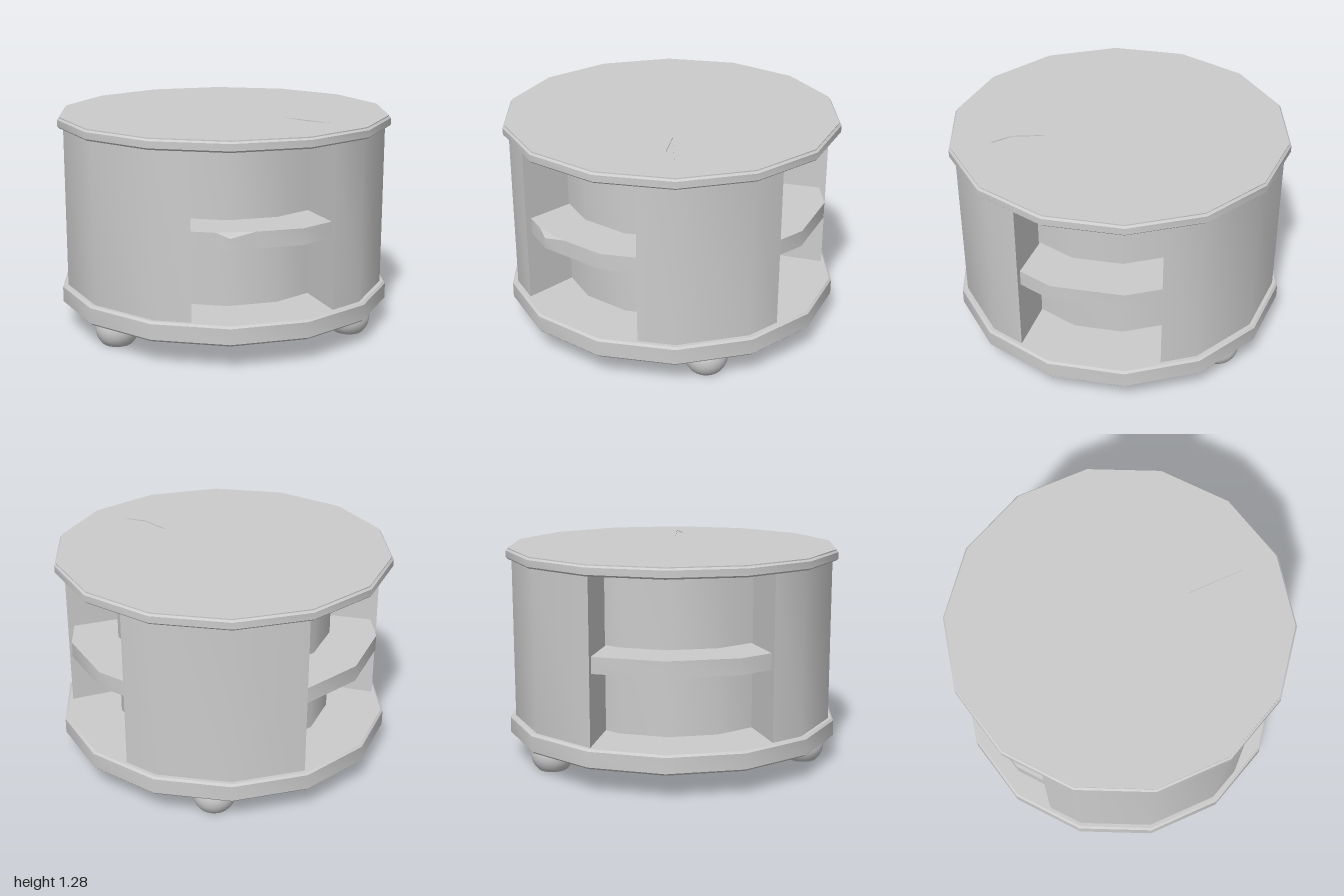
import * as THREE from 'three';
import { toCreasedNormals } from 'three/addons/utils/BufferGeometryUtils.js';

const STEP = 360 / 14;   // every ring is a 14-sided polygon
const START = -9.8;      // angle of one corner, measured from +z towards +x
const rad = THREE.MathUtils.degToRad;
const corner = (k) => START + k * STEP;

// Point on the 14-sided ring at a given angle (shape y is -z)
function onRing(R, angle) {
  const off = (((angle - START) % STEP) + STEP) % STEP - STEP / 2;
  const r = R * Math.cos(rad(STEP / 2)) / Math.cos(rad(off));
  return new THREE.Vector2(r * Math.sin(rad(angle)), -r * Math.cos(rad(angle)));
}

// Ring stretch from angle a to b, with the polygon corners in between
function arc(R, a, b) {
  const pts = [onRing(R, a)];
  for (let k = Math.ceil((a - START) / STEP + 0.01); corner(k) < b - 0.3; k++) pts.push(onRing(R, corner(k)));
  pts.push(onRing(R, b));
  return pts;
}

const fullRing = (R) => Array.from({ length: 14 }, (_, k) => onRing(R, corner(k)));

// Upright slab from a footprint, between two heights, with optional bevel
function slab(points, y0, y1, bevel = 0, hole = null) {
  const shape = new THREE.Shape(points);
  if (hole) shape.holes.push(new THREE.Path(hole));
  const g = new THREE.ExtrudeGeometry(shape, {
    depth: y1 - y0 - 2 * bevel, bevelEnabled: bevel > 0, bevelThickness: bevel,
    bevelSize: bevel, bevelOffset: -bevel, bevelSegments: 1,
  });
  g.rotateX(-Math.PI / 2);
  g.translate(0, y0 + bevel, 0);
  return g;
}

export function createModel() {
  const group = new THREE.Group();
  const material = new THREE.MeshStandardMaterial({ color: 0xcccccc });
  const add = (name, geometry) => {
    const mesh = new THREE.Mesh(toCreasedNormals(geometry, 0.6), material);
    mesh.name = name;
    group.add(mesh);
    return mesh;
  };

  // The three open bays, as angle ranges
  const bays = [
    [corner(-0.5), corner(1.5)],
    [corner(3.5), corner(5.5)],
    [corner(8), corner(10.5)],
  ];
  const FLARE = 9.5;   // bays spread this many degrees at the back

  // Base and top plates; the top has a shallow gouge
  add('basePlate', slab(fullRing(1), 0.145, 0.26, 0.012));
  add('topPlate', slab(fullRing(1), 1.215, 1.274, 0.01));
  const gouge = [[0.28, -0.32], [0.385, -0.5], [0.46, -0.545], [0.51, -0.575]].map(([x, y]) => new THREE.Vector2(x, y));
  add('topSurface', slab(fullRing(0.988), 1.27, 1.28, 0, gouge));

  // Drum body: recessed bays alternating with outer walls
  const footprint = [];
  bays.forEach(([a, b], i) => {
    const next = i < 2 ? bays[i + 1][0] : bays[0][0] + 360;
    footprint.push(...arc(0.65, a - FLARE, b + FLARE), ...arc(0.967, b, next));
  });
  add('drumBody', slab(footprint, 0.25, 1.225));

  // One shelf per bay; the first has a chipped front corner
  bays.forEach(([a, b], i) => {
    const outer = arc(0.93, a - 0.8, b + 0.8);
    if (i === 0) {
      const tip = outer[1];
      const left = tip.clone().lerp(outer[0], 0.35);
      const right = tip.clone().lerp(outer[2], 0.35);
      outer.splice(1, 1, left, right);
      const chip = slab([left, tip, right], 0.67, 0.765);
      const p = chip.attributes.position;
      for (let n = 0; n < p.count; n++) {
        const atTip = Math.hypot(p.getX(n) - tip.x, p.getZ(n) + tip.y) < 1e-3;
        if (atTip && p.getY(n) > 0.7) p.setY(n, 0.735);
      }
      chip.computeVertexNormals();
      add('chippedShelfCorner', chip);
    }
    const inner = arc(0.63, a - FLARE, b + FLARE).reverse();
    add('shelf', slab([...outer, ...inner], 0.67, 0.765));
  });

  // Ball feet with flat soles, one under the middle of each wall
  const profile = [new THREE.Vector2(0, 0)];
  for (let n = 0; n <= 10; n++) {
    const t = -0.835 + n * 0.155;
    profile.push(new THREE.Vector2(0.128 * Math.cos(t), 0.095 + 0.128 * Math.sin(t)));
  }
  profile.push(new THREE.Vector2(0, 0.19));
  const foot = new THREE.LatheGeometry(profile, 24).toNonIndexed();
  bays.forEach(([, b], i) => {
    const next = i < 2 ? bays[i + 1][0] : bays[0][0] + 360;
    const mid = rad((b + next) / 2);
    add('foot', foot.clone()).position.set(0.815 * Math.sin(mid), 0, 0.815 * Math.cos(mid));
  });

  return group;
}
